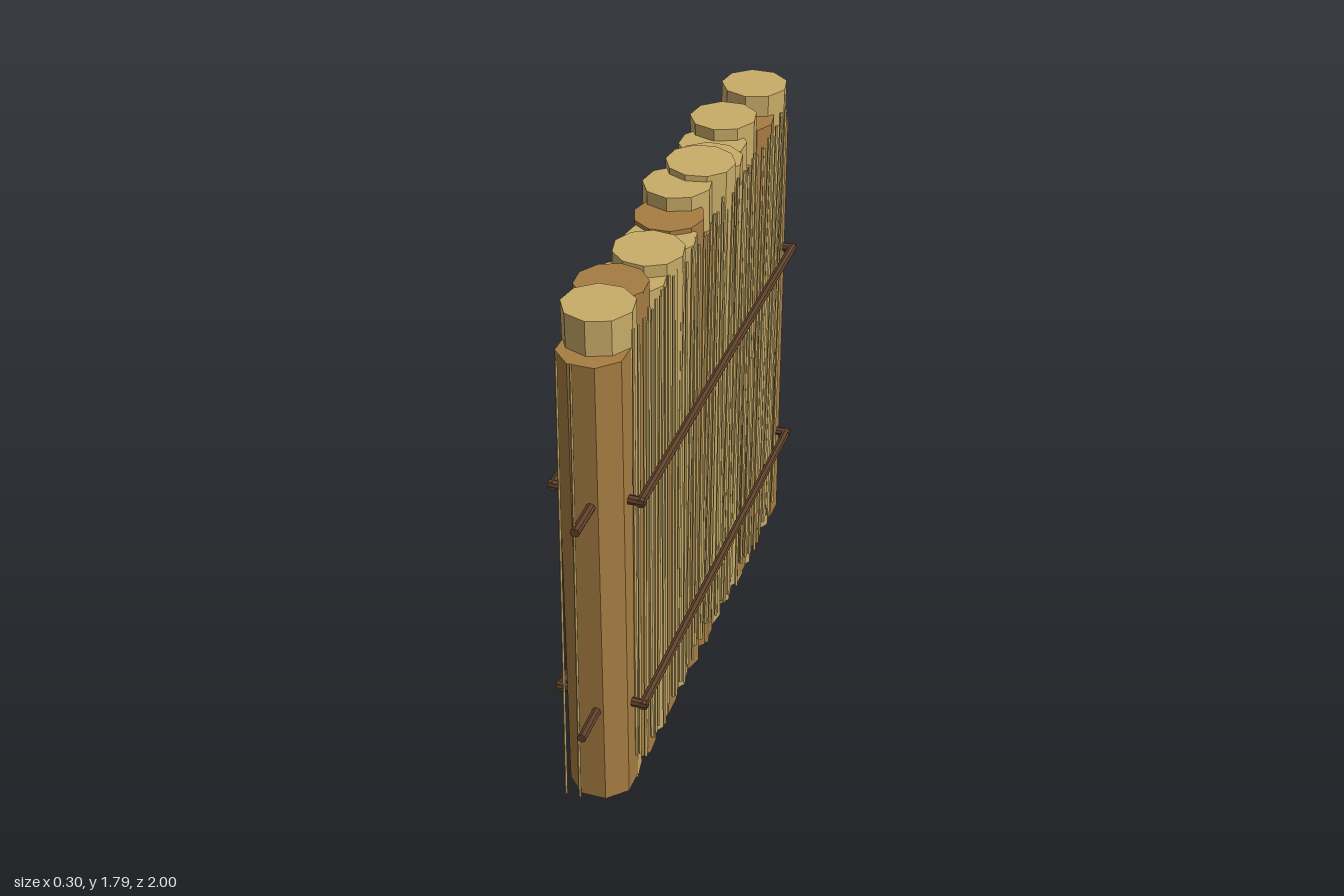
import * as THREE from 'three';

const mat = (name, color) => {
  const m = new THREE.MeshStandardMaterial({ color, flatShading: true });
  m.name = name;
  return m;
};

export function createModel() {
  const root = new THREE.Group();
  root.name = 'palisadeWall';
  const pale = mat('paleWood', 0xc8ac68);
  const brown = mat('brownWood', 0xa67c42);
  const dark = mat('darkWood', 0x5e4028);

  let seed = 7;
  const rand = () => (seed = (seed * 16807) % 2147483647) / 2147483647;
  const vary = (a) => (rand() - 0.5) * 2 * a;

  // Straight round stick between two points
  const stick = (name, a, b, rTop, rBottom, sides, material, start = 0) => {
    const from = new THREE.Vector3(...a), to = new THREE.Vector3(...b);
    const dir = to.clone().sub(from);
    const geo = new THREE.CylinderGeometry(rTop, rBottom, dir.length(), sides, 1, false, start);
    const mesh = new THREE.Mesh(geo, material);
    mesh.name = name;
    mesh.position.copy(from).add(to).multiplyScalar(0.5);
    mesh.quaternion.setFromUnitVectors(new THREE.Vector3(0, 1, 0), dir.normalize());
    root.add(mesh);
  };

  // Square-set octagonal posts: two at the ends, three inside the wall
  for (const z of [0.767, 0.38, -0.005, -0.4, -0.8])
    stick('post', [0, 0.015, z], [0, 1.627, z], 0.108, 0.108, 8, brown, Math.PI / 8);

  // Row of leaning logs: z, x at the top, height, material
  const logs = [
    [0.705, -0.005, 1.74, pale], [0.575, -0.015, 1.735, brown],
    [0.455, 0, 1.69, pale], [0.345, 0.018, 1.73, pale],
    [0.225, 0.015, 1.705, pale], [0.11, 0, 1.72, brown],
    [-0.015, -0.015, 1.765, pale], [-0.14, 0.018, 1.785, pale],
    [-0.265, 0.005, 1.735, pale], [-0.38, -0.02, 1.73, pale],
    [-0.5, -0.022, 1.77, pale], [-0.625, 0, 1.71, brown],
    [-0.745, 0.008, 1.783, pale],
  ];
  logs.forEach(([z, x, h, m], i) =>
    stick('log', [-x * 0.2, 0, z], [x, h, z], 0.11, 0.1, 9 + (i % 2), m, i * 0.7));

  // Thin reeds covering the left face
  for (let i = 0; i < 50; i++) {
    const z = 0.745 - i * 0.0304;
    stick('reed', [0.108 + vary(0.006), 0.08 + vary(0.04), z + vary(0.008)],
      [0.118 + vary(0.008), 1.69 + vary(0.02), z + vary(0.008)], 0.005, 0.006, 5, pale);
  }

  // Loose reeds standing off both ends
  for (const [x0, x1, y0, y1, z] of [
    [-0.045, -0.025, 0.115, 1.705, 0.98], [0, 0.017, 0.115, 1.705, 0.98],
    [-0.015, -0.01, 0.07, 1.69, -0.978],
  ]) stick('endReed', [x0, y0, z], [x1, y1, z], 0.004, 0.005, 5, pale);

  // Two tiers of binding rails
  for (const y of [0.355, 1.13]) {
    stick('throughRail', [0.02, y + 0.021, 1], [-0.002, y, -1], 0.015, 0.015, 8, dark);
    for (const x of [-0.137, 0.137])
      stick('sideRail', [x, y, 0.78], [x, y + 0.02, -0.82], 0.015, 0.015, 8, dark);
    for (const [z, dy] of [[0.767, 0], [-0.808, 0.02]])
      stick('crossRail', [-0.15, y + dy, z], [0.15, y + dy, z], 0.015, 0.015, 8, dark);
  }
  return root;
}
